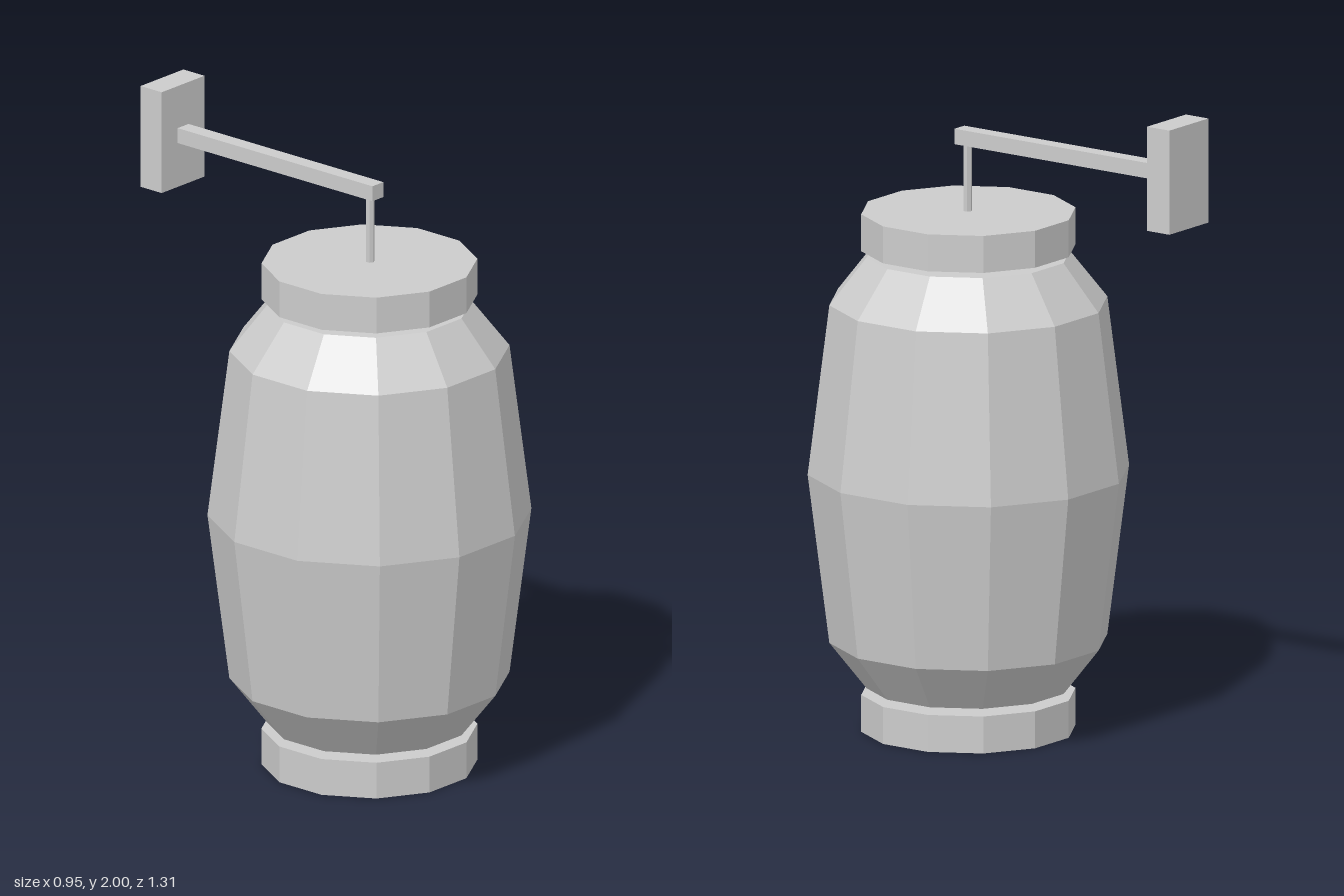
import * as THREE from 'three';

const SIDES = 12;
const AXIS_Z = 0.18; // hanging axis of the lantern

export function createModel() {
  const model = new THREE.Group();
  model.name = 'wallLantern';
  const grey = new THREE.MeshStandardMaterial({ color: 0xcccccc, flatShading: true });
  grey.name = 'light grey';

  function add(name, geometry, x, y, z) {
    const mesh = new THREE.Mesh(geometry, grey);
    mesh.name = name;
    mesh.position.set(x, y, z);
    model.add(mesh);
    return mesh;
  }

  // Faceted closed solid; each profile pair is [distance to flat side, height]
  function faceted(name, profile) {
    const k = 1 / Math.cos(Math.PI / SIDES);
    const points = profile.map(([r, y]) => new THREE.Vector2(r * k, y));
    add(name, new THREE.LatheGeometry(points, SIDES, Math.PI / SIDES), 0, 0, AXIS_Z);
  }

  // Paper shade, bulging in the middle
  faceted('shade', [
    [0, 0.135], [0.3, 0.135], [0.41, 0.28], [0.474, 0.805],
    [0.41, 1.33], [0.3, 1.475], [0, 1.475],
  ]);

  // End caps, separated from the shade by a narrow gap
  faceted('bottomCap', [[0, 0], [0.316, 0], [0.316, 0.115], [0, 0.115]]);
  faceted('topCap', [[0, 1.495], [0.316, 1.495], [0.316, 1.61], [0, 1.61]]);

  // Hanging rod, arm and wall plate
  add('hangingRod', new THREE.CylinderGeometry(0.014, 0.014, 0.22, 6), 0, 1.715, AXIS_Z + 0.003);
  add('arm', new THREE.BoxGeometry(0.05, 0.048, 0.785), 0, 1.841, -0.1785);
  add('wallPlate', new THREE.BoxGeometry(0.196, 0.324, 0.085), 0, 1.838, -0.6125);

  return model;
}
